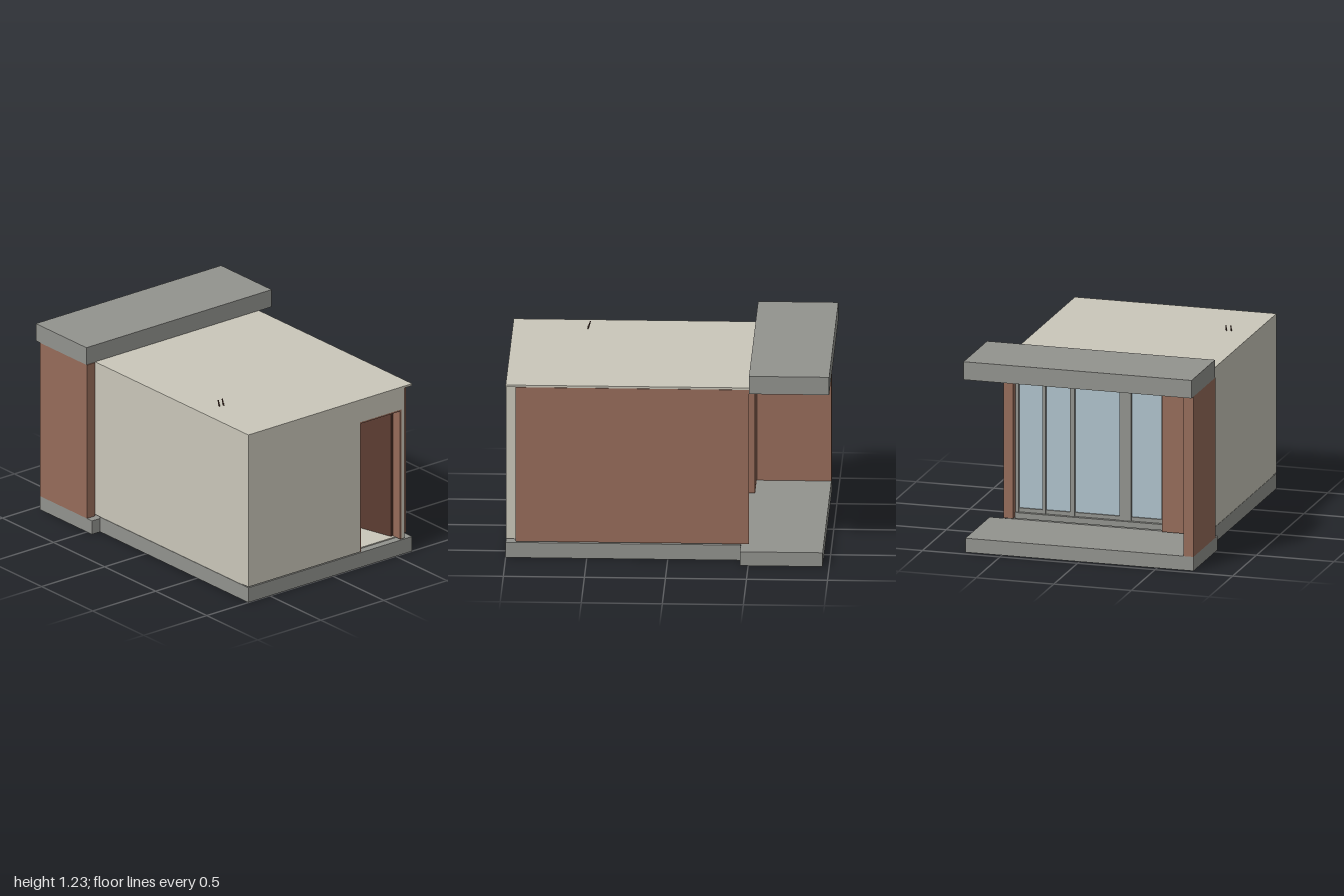
import * as THREE from 'three';

const mat = (name, color) => Object.assign(new THREE.MeshStandardMaterial({ color }), { name });

export function createModel() {
  const plaster = mat('plaster', 0xcac7ba);
  const brown = mat('brown', 0x966c5a);
  const darkBrown = mat('dark brown', 0x5c3c32);
  const concrete = mat('concrete', 0x92938e);
  const glass = mat('glass', 0xafc3cc);

  const model = new THREE.Group();
  model.name = 'pavilion';

  // Box given by its limits on each axis
  function block(name, material, x0, x1, y0, y1, z0, z1, parent = model) {
    const mesh = new THREE.Mesh(new THREE.BoxGeometry(x1 - x0, y1 - y0, z1 - z0), material);
    mesh.position.set((x0 + x1) / 2, (y0 + y1) / 2, (z0 + z1) / 2);
    mesh.name = name;
    parent.add(mesh);
    return mesh;
  }
  function group(name) {
    const g = new THREE.Group();
    g.name = name;
    model.add(g);
    return g;
  }

  // Foundations and floor
  block('mainSlab', concrete, -0.67, 0.63, 0, 0.098, -0.45, 1);
  block('terraceSlab', concrete, -0.735, 0.735, 0, 0.09, -0.96, -0.45);
  block('floor', plaster, -0.61, 0.565, 0.098, 0.105, -0.4, 0.95);

  // Roofs
  block('mainRoof', plaster, -0.67, 0.63, 1.107, 1.12, -0.5, 1);
  block('terraceRoof', concrete, -0.735, 0.735, 1.115, 1.23, -1, -0.505);

  // Side and back walls
  block('rightWall', brown, 0.57, 0.63, 0.106, 1.106, -0.5, 0.94);
  block('leftWall', plaster, -0.67, -0.61, 0.1, 1.107, -0.44, 0.94);
  block('leftWallEnd', plaster, -0.67, -0.664, 0.1, 1.107, -0.5, -0.44);
  block('backWall', brown, -0.664, -0.39, 0.1, 1.107, -0.5, -0.44);
  block('terraceWall', brown, -0.735, -0.67, 0.09, 1.115, -0.96, -0.5);

  // Front wall around the doorway
  const front = group('frontWall');
  block('frontWallLeft', plaster, -0.67, 0.215, 0.104, 1.107, 0.94, 1, front);
  block('frontWallRight', plaster, 0.545, 0.57, 0.104, 1.107, 0.94, 1, front);
  block('frontLintel', plaster, 0.215, 0.545, 0.97, 1.107, 0.94, 1, front);

  // Door frame and open door leaf
  const door = group('door');
  block('jambLeft', brown, 0.215, 0.225, 0.104, 0.97, 0.925, 1.0, door);
  block('jambRight', brown, 0.535, 0.545, 0.104, 0.97, 0.925, 1.0, door);
  block('doorHead', brown, 0.225, 0.535, 0.96, 0.97, 0.925, 1.0, door);
  const hinge = new THREE.Group();
  hinge.position.set(0.535, 0, 0.93);
  hinge.rotation.y = 0.26;
  hinge.name = 'doorLeaf';
  door.add(hinge);
  block('doorPanel', darkBrown, -0.02, 0, 0.107, 0.96, -0.3, 0, hinge);

  // Glazed back wall: outer frame, mullions and panes
  const windowGroup = group('backWindow');
  block('topRail', concrete, -0.39, 0.57, 1.05, 1.107, -0.46, -0.4, windowGroup);
  block('bottomRail', concrete, -0.39, 0.57, 0.098, 0.135, -0.46, -0.4, windowGroup);
  const uprights = [[0.55, 0.57], [0.375, 0.395], [0.19, 0.22], [-0.175, -0.1], [-0.39, -0.37]];
  for (const [a, b] of uprights) block('mullion', concrete, a, b, 0.135, 1.05, -0.445, -0.4, windowGroup);
  for (let i = 0; i < uprights.length - 1; i++) {
    const x0 = uprights[i + 1][1], x1 = uprights[i][0];
    block('pane', glass, x0, x1, 0.135, 1.05, -0.427, -0.42, windowGroup);
    block('sashBottom', concrete, x0, x1, 0.135, 0.16, -0.437, -0.41, windowGroup);
    block('sashTop', concrete, x0, x1, 1.025, 1.05, -0.437, -0.41, windowGroup);
  }

  // Inner partition beside the door, with skirting
  block('partition', plaster, 0.175, 0.215, 0.105, 1.107, 0.7, 0.94);
  block('skirting', brown, 0.215, 0.22, 0.105, 0.14, 0.7, 0.925);

  // Screen with slats above
  const screen = group('screen');
  block('screenPanel', plaster, 0.345, 0.57, 0.105, 0.715, -0.06, -0.04, screen);
  for (let i = 0; i < 12; i++) {
    const x = 0.323 + i * 0.019;
    block('slat', darkBrown, x, x + 0.005, 0.715, 1.107, -0.055, -0.045, screen);
  }

  // Sofa: two stacked round-edged cushions running across
  const sofa = group('sofa');
  for (const y of [0.15, 0.245]) {
    const r = 0.045, half = 0.1;
    const section = new THREE.Shape();
    section.absarc(half, 0, r, -Math.PI / 2, Math.PI / 2);
    section.absarc(-half, 0, r, Math.PI / 2, Math.PI * 1.5);
    const cushion = new THREE.Mesh(
      new THREE.ExtrudeGeometry(section, { depth: 0.4, bevelEnabled: false, curveSegments: 12 }), brown);
    cushion.rotation.y = Math.PI / 2;
    cushion.position.set(0.15, y, 0.35);
    cushion.name = 'cushion';
    sofa.add(cushion);
  }

  // Low table
  const table = group('table');
  block('tableTop', brown, -0.25, 0.08, 0.27, 0.3, 0.1, 0.35, table);
  for (const x of [-0.24, 0.05])
    for (const z of [0.11, 0.32]) block('tableLeg', brown, x, x + 0.02, 0.105, 0.27, z, z + 0.02, table);

  // Two small slanted pins on the roof
  for (const x of [-0.522, -0.49]) {
    const pin = block('roofPin', darkBrown, x - 0.003, x + 0.003, 1.11, 1.16, 0.527, 0.533);
    pin.rotation.x = -0.35;
  }

  return model;
}
